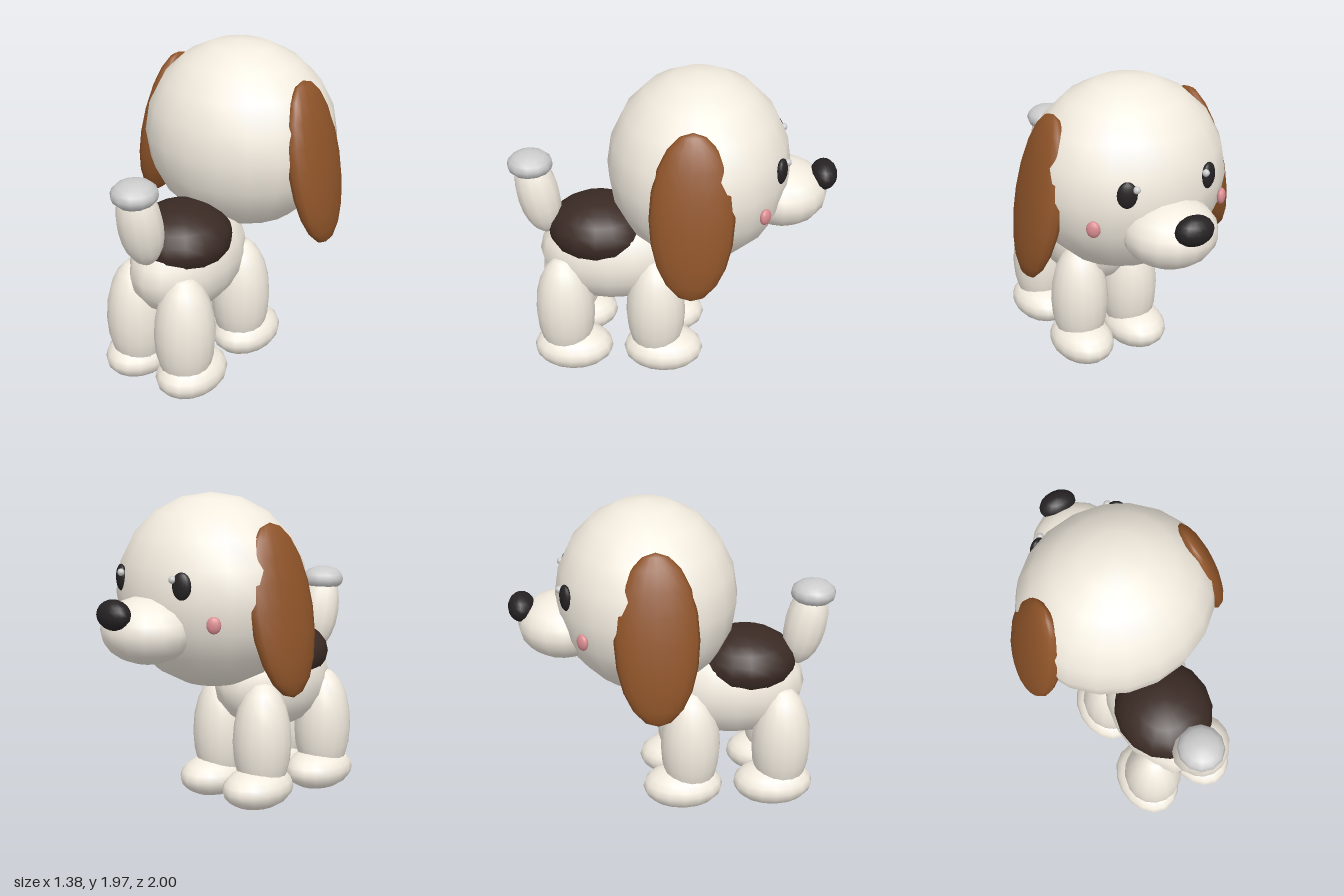
import * as THREE from 'three';

const paint = (color) => new THREE.MeshStandardMaterial({ color });
const cream = paint(0xf2ebdf);
const brown = paint(0x8f5429);
const dark = paint(0x3a2a24);
const black = paint(0x262224);
const pink = paint(0xdb8d92);
const grey = paint(0xcccccc);

// Ellipsoid from centre, radii and rotation
function blob(name, material, centre, radii, rotation = [0, 0, 0], segments = 16, rings = 10) {
  const geometry = new THREE.SphereGeometry(1, segments, rings);
  geometry.scale(...radii);
  const mesh = new THREE.Mesh(geometry, material);
  mesh.name = name;
  mesh.position.set(...centre);
  mesh.rotation.set(...rotation);
  return mesh;
}

const HEAD = { centre: [0, 1.385, -0.165], radii: [0.61, 0.585, 0.552] };

// Yaw that turns a part's z axis along the head's outward direction
function headYaw(x, z) {
  return Math.atan2(x / HEAD.radii[0] ** 2, (z - HEAD.centre[2]) / HEAD.radii[2] ** 2);
}

export function createModel() {
  const dog = new THREE.Group();
  dog.name = 'puppy';

  // Body with a dark saddle patch
  dog.add(
    blob('body', cream, [0, 0.75, 0.38], [0.29, 0.32, 0.45]),
    blob('saddlePatch', dark, [0, 0.92, 0.45], [0.3, 0.207, 0.32])
  );

  // Head, muzzle and nose
  dog.add(
    blob('head', cream, HEAD.centre, HEAD.radii, [0, 0, 0], 20, 10),
    blob('muzzle', cream, [0, 1.205, -0.67], [0.28, 0.198, 0.275]),
    blob('nose', black, [0, 1.32, -0.918], [0.118, 0.088, 0.082])
  );

  // Tail with a pale tip
  dog.add(
    blob('tail', cream, [0, 1.15, 0.822], [0.135, 0.275, 0.132], [0.2, 0, 0], 12, 10),
    blob('tailTip', grey, [0, 1.355, 0.86], [0.137, 0.083, 0.14], [0, 0, 0], 12, 8)
  );

  for (const s of [1, -1]) {
    const side = s > 0 ? 'left' : 'right';

    // Floppy ear, leaning in at the top
    dog.add(blob(side + 'Ear', brown, [s * 0.55, 1.32, -0.135], [0.1, 0.505, 0.245], [0, 0, s * 0.2]));

    // Eye, glint and cheek
    dog.add(
      blob(side + 'Eye', black, [s * 0.265, 1.48, -0.645], [0.058, 0.08, 0.03], [0, headYaw(s * 0.265, -0.645), 0]),
      blob(side + 'EyeGlint', grey, [s * 0.225, 1.517, -0.68], [0.022, 0.022, 0.022], [0, 0, 0], 10, 8),
      blob(side + 'Cheek', pink, [s * 0.428, 1.27, -0.555], [0.042, 0.05, 0.025], [0, headYaw(s * 0.428, -0.555), 0], 12, 8)
    );

    // Front and back legs with rounded paws
    for (const [end, legZ, pawZ] of [['Front', 0.093, 0.045], ['Back', 0.667, 0.623]]) {
      dog.add(
        blob(side + end + 'Leg', cream, [s * 0.182, 0.415, legZ], [0.183, 0.385, 0.187]),
        blob(side + end + 'Paw', cream, [s * 0.195, 0.132, pawZ], [0.195, 0.132, 0.253])
      );
    }
  }

  return dog;
}
